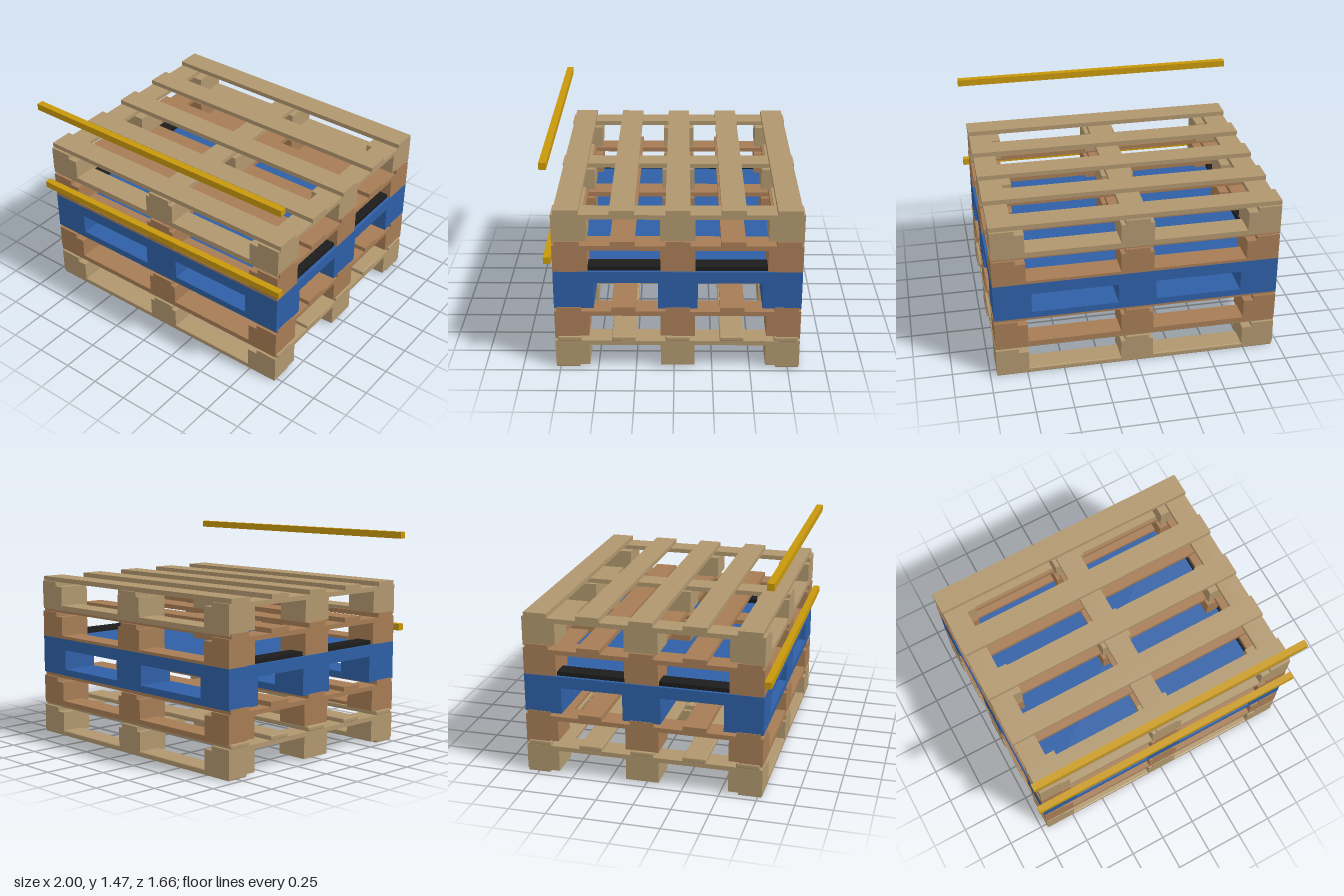
import * as THREE from 'three';
import { RoundedBoxGeometry } from 'three/addons/geometries/RoundedBoxGeometry.js';

const material = (color) => new THREE.MeshStandardMaterial({ color, flatShading: true });
const TAN = material(0xb0976e);
const BROWN = material(0xa67c55);
const BLUE = material(0x2e5fa6);
const BLACK = material(0x1c1c1c);
const YELLOW = material(0xc8980c);

// Box given by its [min, max] along each axis; radius > 0 eases the edges
function addBox(parent, name, mat, [x0, x1], [y0, y1], [z0, z1], radius = 0) {
  const size = [x1 - x0, y1 - y0, z1 - z0];
  const geometry = radius
    ? new RoundedBoxGeometry(...size, 1, radius)
    : new THREE.BoxGeometry(...size);
  const mesh = new THREE.Mesh(geometry, mat);
  mesh.name = name;
  mesh.position.set((x0 + x1) / 2, (y0 + y1) / 2, (z0 + z1) / 2);
  parent.add(mesh);
}

const BACK = -0.826;
const FRONT = 0.78;

// Nine blocks, three stringers, five deck boards, two bottom boards
function woodenPallet(name, mat, baseY, radius = 0) {
  const pallet = new THREE.Group();
  pallet.name = name;
  pallet.position.y = baseY;

  const blockX = [[-0.957, -0.737], [-0.11, 0.11], [0.737, 0.957]];
  const blockZ = [[BACK, -0.602], [-0.136, 0.088], [0.556, FRONT]];
  for (const x of blockX) {
    for (const z of blockZ) addBox(pallet, 'block', mat, x, [0.02, 0.168], z);
  }

  const stringerX = [[-0.957, -0.803], [-0.08, 0.08], [0.803, 0.957]];
  for (const x of stringerX) addBox(pallet, 'stringer', mat, x, [0.168, 0.199], [BACK, FRONT]);

  for (let i = 0; i < 5; i++) {
    const z = -0.732 + i * 0.354;
    addBox(pallet, 'deckBoard', mat, [-0.962, 0.962], [0.199, 0.231], [z - 0.079, z + 0.079], radius);
  }

  for (const z of [[BACK + 0.001, -0.667], [0.62, FRONT - 0.001]]) {
    addBox(pallet, 'bottomBoard', mat, [-0.955, 0.955], [0, 0.036], z, radius);
  }
  return pallet;
}

// Closed top, nine legs, runners along x, anti-slip strips on top
function plasticPallet() {
  const pallet = new THREE.Group();
  pallet.name = 'plasticPallet';
  addBox(pallet, 'topSlab', BLUE, [-0.957, 0.957], [0.625, 0.704], [BACK, FRONT]);

  const legX = [[-0.957, -0.705], [-0.127, 0.127], [0.705, 0.957]];
  const gapX = [[-0.705, -0.127], [0.127, 0.705]];
  const legZ = [[BACK, -0.573], [-0.153, 0.103], [0.522, FRONT]];
  for (const z of legZ) {
    for (const x of legX) addBox(pallet, 'leg', BLUE, x, [0.442, 0.625], z);
    for (const x of gapX) addBox(pallet, 'runner', BLUE, x, [0.442, 0.487], z);
  }

  for (const side of [-1, 1]) {
    const x = side * 0.88;
    addBox(pallet, 'gripStrip', BLACK, [x - 0.055, x + 0.055], [0.704, 0.732], [-0.666, 0.619]);
  }
  return pallet;
}

export function createModel() {
  const model = new THREE.Group();
  model.name = 'palletStack';

  model.add(woodenPallet('bottomTanPallet', TAN, 0, 0.007));
  model.add(woodenPallet('lowerBrownPallet', BROWN, 0.218));
  model.add(plasticPallet());
  model.add(woodenPallet('upperBrownPallet', BROWN, 0.688));
  model.add(woodenPallet('topTanPallet', TAN, 0.904));

  // Guard bars in front of the stack
  for (const y of [0.806, 1.446]) {
    addBox(model, 'guardBar', YELLOW, [-1, 1], [y - 0.023, y + 0.023], [0.785, 0.831]);
  }
  return model;
}
